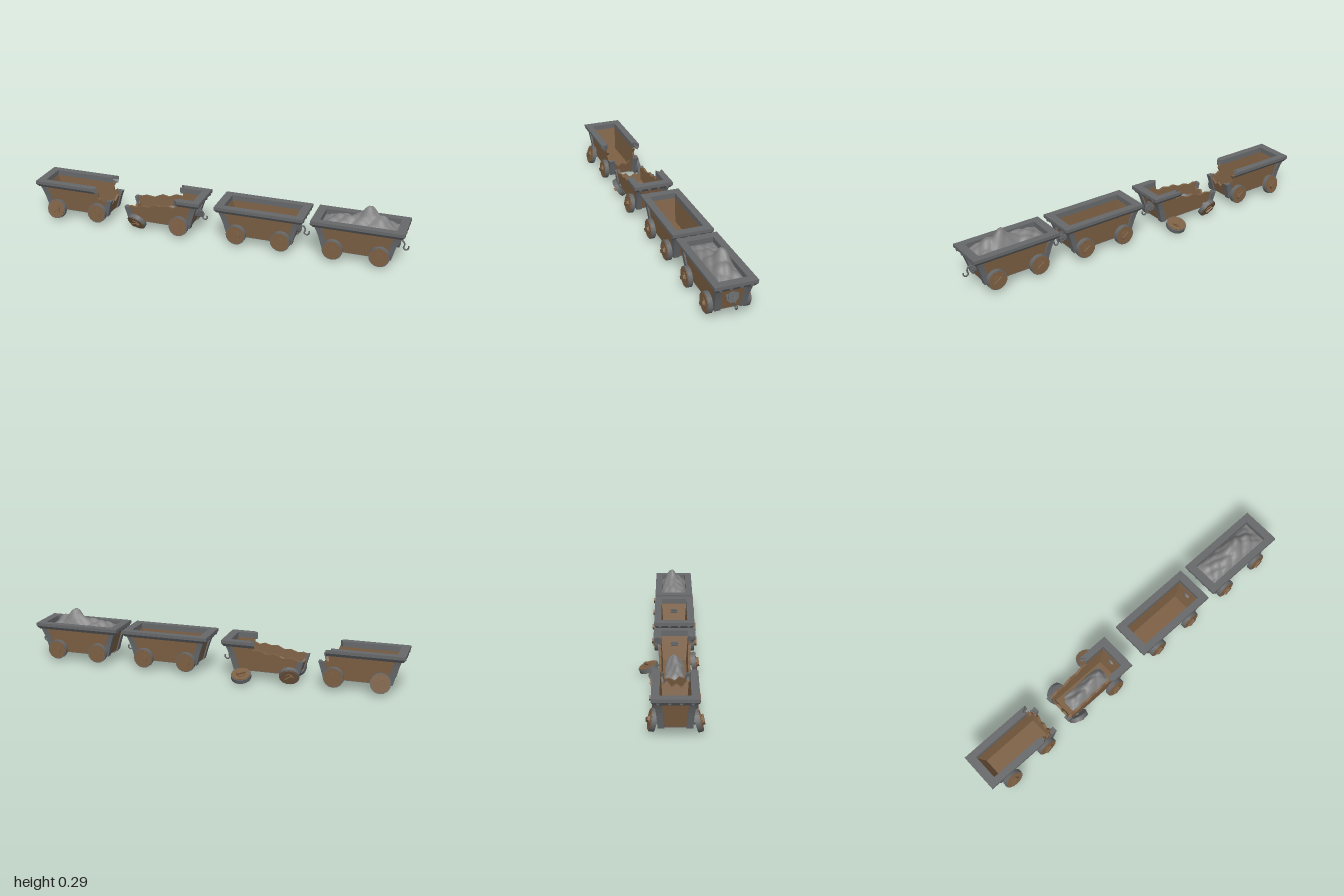
import * as THREE from 'three';

const mat = (name, color, side = THREE.FrontSide) => {
  const m = new THREE.MeshStandardMaterial({ color, side });
  m.name = name;
  return m;
};
const lerp = THREE.MathUtils.lerp;
const Y0 = 0.055, Y1 = 0.185; // bottom and top of the tub
const tubX = v => lerp(0.165, 0.2, v);
const tubZ = v => lerp(0.07, 0.08, v);

export function createModel() {
  const wood = mat('wood', 0x7d6044);
  const metal = mat('iron', 0x66686a);
  const rock = mat('rock', 0x828282, THREE.DoubleSide);

  const add = (parent, name, geo, material, x = 0, y = 0, z = 0) => {
    const mesh = new THREE.Mesh(geo, material);
    mesh.name = name;
    mesh.position.set(x, y, z);
    parent.add(mesh);
    return mesh;
  };
  const shapeOf = pts => new THREE.Shape(pts.map(p => new THREE.Vector2(p[0], p[1])));
  const reshape = (geo, rule) => {
    const p = geo.attributes.position;
    for (let i = 0; i < p.count; i++) p.setXYZ(i, ...rule(p.getX(i), p.getY(i), p.getZ(i)));
    geo.computeVertexNormals();
    return geo;
  };

  // Sloping plank wall: outline in (-1..1 along, 0..1 up), bent to the tub's taper
  function wall(parent, name, outline, half, dist, angle) {
    const geo = new THREE.ExtrudeGeometry(shapeOf(outline), { depth: 1, bevelEnabled: false });
    reshape(geo, (s, v, w) => [s * half(v), lerp(Y0, Y1, v), dist(v) - (1 - w) * 0.012]);
    add(parent, name, geo, wood).rotation.y = angle;
  }

  // L-shaped corner strap, flaring out under the rim
  function strap(parent, sx, sz, top) {
    const l = [[0, 0], [-0.03, 0], [-0.03, -0.014], [-0.014, -0.014], [-0.014, -0.03], [0, -0.03]];
    const geo = new THREE.ExtrudeGeometry(shapeOf(l.map(([a, b]) => [a * sx, -b * sz])),
      { depth: top, steps: 5, bevelEnabled: false });
    geo.rotateX(-Math.PI / 2);
    reshape(geo, (x, v, z) => [
      x + sx * (tubX(v) + 0.007 + 0.008 * v ** 4), lerp(Y0 - 0.003, Y1, v),
      z + sz * (tubZ(v) + 0.007 + 0.005 * v ** 4)]);
    add(parent, 'cornerStrap', geo, metal);
  }

  // Flared iron rim
  function rim(parent, shape) {
    const geo = new THREE.ExtrudeGeometry(shape, { depth: 0.033, steps: 2, bevelEnabled: false });
    geo.rotateX(-Math.PI / 2);
    reshape(geo, (x, y, z) => {
      const inset = y < 0.005 ? 0.012 : 0;
      return [Math.abs(x) > 0.23 ? x - Math.sign(x) * inset : x, y + 0.18,
        Math.abs(z) > 0.1 ? z - Math.sign(z) * inset : z];
    });
    add(parent, 'rim', geo, metal);
  }

  function rimBolts(parent, side) {
    for (const z of [-0.075, -0.025, 0.025, 0.075]) {
      const geo = new THREE.CylinderGeometry(0.008, 0.008, 0.008, 10).rotateZ(Math.PI / 2);
      add(parent, 'rimBolt', geo, metal, side * 0.228, 0.194, z);
    }
  }

  // Wheel facing local +z
  function wheel(parent, [x, y, z, back, tilt, turn = 0]) {
    const g = new THREE.Group();
    g.name = 'wheel';
    const disc = (r, d) => new THREE.CylinderGeometry(r, r, d, 16).rotateX(Math.PI / 2);
    add(g, 'tyre', disc(0.052, 0.022), metal);
    add(g, 'wheelFace', disc(0.048, 0.006), wood, 0, 0, 0.011);
    add(g, 'hub', disc(0.024, 0.006), wood, 0, 0, 0.015);
    add(g, 'hubBlock', new THREE.BoxGeometry(0.045, 0.018, 0.014), wood, 0, 0, 0.02).rotation.z = 0.6;
    add(g, 'axleStub', disc(0.014, 0.024), metal, 0, 0, -0.018);
    g.position.set(x, y, z);
    g.rotation.set(tilt, (back ? Math.PI : 0) + turn, 0);
    parent.add(g);
  }

  // Octagonal plate with coupling hook on the +x end
  function coupling(parent) {
    for (const [r, d] of [[0.033, 0.01], [0.024, 0.02]]) {
      const geo = new THREE.CylinderGeometry(r, r, d, 8).rotateY(Math.PI / 8).rotateZ(Math.PI / 2 + 0.26);
      add(parent, 'couplingPlate', geo, metal, 0.187, 0.127, 0);
    }
    const pts = [[0.18, 0.13], [0.212, 0.13], [0.222, 0.112], [0.217, 0.093], [0.23, 0.084], [0.242, 0.094], [0.242, 0.108]];
    const path = new THREE.CatmullRomCurve3(pts.map(p => new THREE.Vector3(p[0], p[1], 0)));
    add(parent, 'hook', new THREE.TubeGeometry(path, 24, 0.004, 6), metal);
  }

  // Heap of stone: rounded bumps [x, z, height, widthX, widthZ] with ridged noise
  function heap(parent, name, hx, hz, base, bumps, rough) {
    const geo = new THREE.PlaneGeometry(hx * 2, hz * 2, 44, 20).rotateX(-Math.PI / 2);
    reshape(geo, (x, y, z) => {
      const edge = Math.min(1, 5 * (1 - Math.abs(x / hx)), 4 * (1 - Math.abs(z / hz)));
      let h = 0;
      for (const [bx, bz, a, wx, wz] of bumps) h += a * Math.exp(-(((x - bx) / wx) ** 2) - ((z - bz) / wz) ** 2);
      h += rough * (Math.abs(Math.sin(x * 41 + z * 30)) + Math.abs(Math.sin(x * 27 - z * 62 + 1)) - 0.4);
      return [x, base + h * edge, z];
    });
    add(parent, name, geo, rock);
  }

  const full = [[-1, 0], [1, 0], [1, 1], [-1, 1]];
  const RX = 0.233, RZ = 0.105, IX = 0.19, IZ = 0.068;
  const wheelsOf = () => [-0.117, 0.117].flatMap(x => [[x, 0.072, 0.092, false, 0], [x, 0.072, -0.092, true, 0]]);

  function cart(name, cx, o = {}) {
    const g = new THREE.Group();
    g.name = name;
    g.position.set(cx, 0, 0.025);
    add(g, 'floor', new THREE.BoxGeometry(0.325, 0.009, 0.135), wood, 0, 0.0615, 0);
    add(g, 'underplate', new THREE.BoxGeometry(0.33, 0.004, 0.14), metal, 0, 0.055, 0);
    const flip = pts => pts.map(([s, v]) => [-s, v]);
    wall(g, 'frontWall', o.front || full, tubX, tubZ, 0);
    wall(g, 'backWall', flip(o.back || full), tubX, tubZ, Math.PI);
    wall(g, 'hookEndWall', o.endR || full, tubZ, tubX, Math.PI / 2);
    wall(g, 'plainEndWall', o.endL || full, tubZ, tubX, -Math.PI / 2);
    for (const sz of [-1, 1]) {
      strap(g, 1, sz, o.strapR || 1);
      strap(g, -1, sz, o.strapL || 1);
    }
    let shape;
    if (o.rim) shape = shapeOf(o.rim);
    else {
      shape = shapeOf([[-RX, -RZ], [RX, -RZ], [RX, RZ], [-RX, RZ]]);
      shape.holes.push(shapeOf([[-IX, -IZ], [-IX, IZ], [IX, IZ], [IX, -IZ]]));
    }
    rim(g, shape);
    if (!o.strapR) { rimBolts(g, 1); coupling(g); }
    if (!o.strapL) rimBolts(g, -1);
    (o.wheels || wheelsOf()).forEach(w => wheel(g, w));
    return g;
  }

  const model = new THREE.Group();
  model.name = 'mineCarts';

  // Cart with its hook end torn off
  model.add(cart('tornCart', -0.767, {
    front: [[-1, 0], [1, 0], [1, 0.66], [0.9, 0.58], [0.85, 0.7], [0.76, 0.52], [0.7, 0.68], [0.6, 0.74], [0.64, 0.88], [0.6, 1], [-1, 1]],
    back: [[-1, 0], [1, 0], [1, 0.66], [0.92, 0.6], [0.86, 0.75], [0.78, 0.66], [0.74, 0.85], [0.78, 1], [-1, 1]],
    endR: [[-1, 0], [1, 0], [1, 0.6], [0.7, 0.48], [0.5, 0.6], [0.2, 0.38], [-0.1, 0.5], [-0.4, 0.35], [-0.7, 0.58], [-1, 0.62]],
    strapR: 0.7,
    rim: [[-RX, -RZ], [0.1, -RZ], [0.12, -0.09], [0.105, -IZ], [-IX, -IZ], [-IX, IZ], [0.14, IZ], [0.125, 0.085], [0.16, RZ], [-RX, RZ]]
      .map(([x, y]) => [x, y]),
    wheels: [[-0.117, 0.065, 0.1, false, -0.25], [-0.117, 0.068, -0.1, true, 0.2, 0.12],
      [0.117, 0.072, 0.092, false, -0.06], [0.117, 0.072, -0.092, true, 0]],
  }));

  // Wrecked cart with loose wheels and spilt stone
  const wreck = cart('wreckedCart', -0.3, {
    front: [[-1, 0], [1, 0], [1, 1], [0.5, 1], [0.52, 0.86], [0.4, 0.78], [0.25, 0.84], [0.05, 0.76], [-0.1, 0.8], [-0.3, 0.66], [-0.5, 0.68], [-0.7, 0.58], [-0.85, 0.62], [-1, 0.55]],
    back: [[-1, 0], [1, 0], [1, 1], [0.42, 1], [0.4, 0.84], [0.2, 0.86], [0, 0.72], [-0.2, 0.78], [-0.45, 0.62], [-0.7, 0.66], [-1, 0.52]],
    endL: [[-1, 0], [1, 0], [1, 0.5], [0.6, 0.32], [0.3, 0.4], [0, 0.22], [-0.4, 0.34], [-0.7, 0.28], [-1, 0.5]],
    strapL: 0.58,
    rim: [[RX, -RZ], [RX, RZ], [0.06, RZ], [0.085, 0.085], [0.065, IZ], [IX, IZ], [IX, -IZ], [0.11, -IZ], [0.09, -0.085], [0.11, -RZ]],
    wheels: [[-0.125, 0.052, 0.078, false, 0.6, -0.2], [-0.125, 0.056, -0.092, true, -0.5, 0.15],
      [0.117, 0.07, 0.096, false, -0.12], [0.117, 0.042, -0.13, true, 1.2]],
  });
  heap(wreck, 'spiltStone', 0.135, 0.05, 0.062,
    [[0.05, 0, 0.055, 0.06, 0.035], [-0.05, 0.012, 0.04, 0.06, 0.03], [0.1, -0.01, 0.02, 0.04, 0.03]], 0.009);
  model.add(wreck);

  // Empty and loaded carts
  model.add(cart('emptyCart', 0.247));
  const loaded = cart('loadedCart', 0.748);
  heap(loaded, 'stoneLoad', 0.19, 0.07, 0.185,
    [[0.04, -0.018, 0.07, 0.045, 0.035], [0.02, 0.01, 0.032, 0.11, 0.05], [0.115, 0.005, 0.03, 0.035, 0.045], [-0.1, 0, 0.02, 0.07, 0.06]], 0.01);
  model.add(loaded);
  return model;
}
